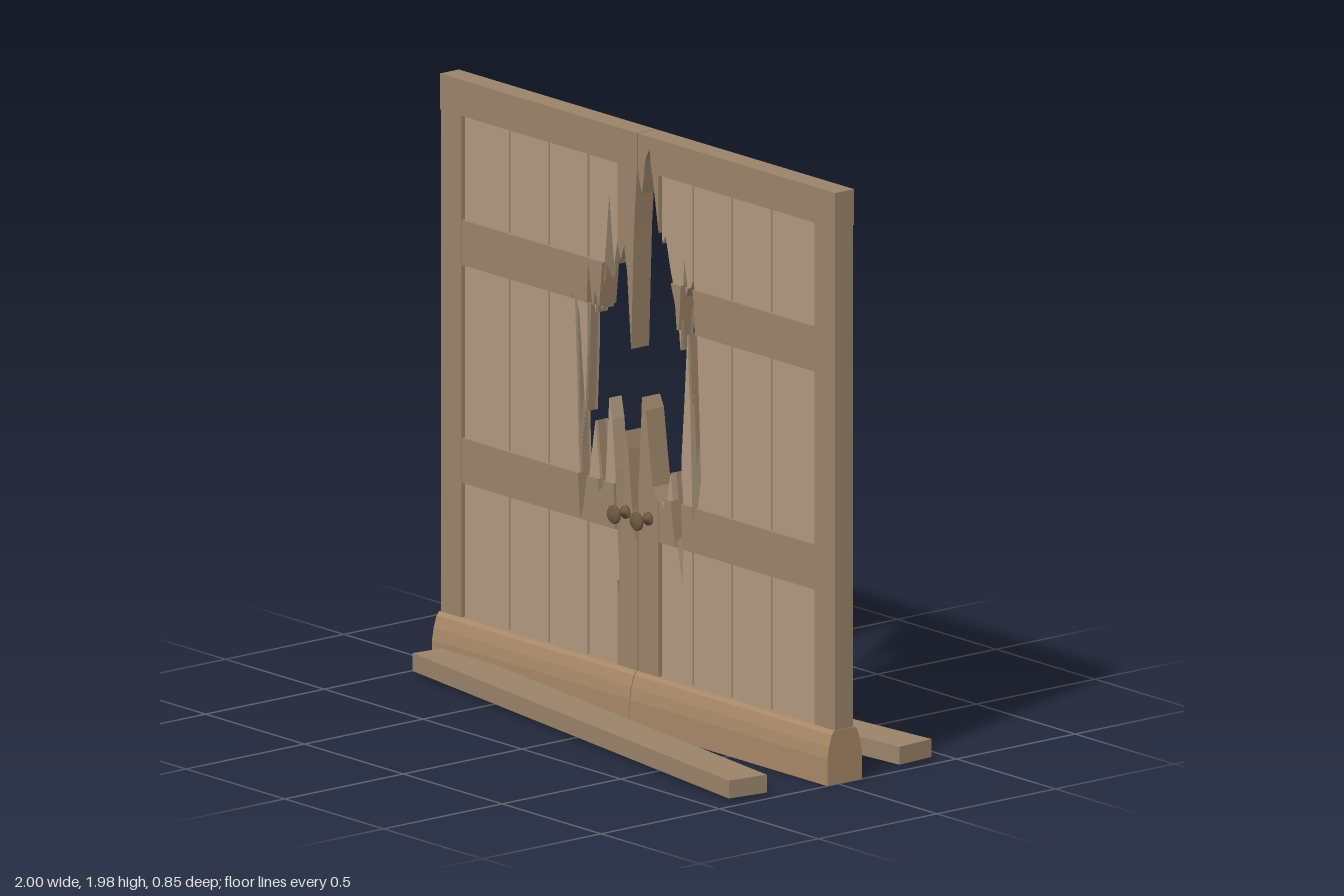
import * as THREE from 'three';

const V = (x, y) => new THREE.Vector2(x, y);
const wood = (color) => new THREE.MeshStandardMaterial({ color, roughness: 0.9, flatShading: true });
const frameWood = wood(0x9b846a), panelWood = wood(0xb09980), sillWood = wood(0xa88868);
const knobWood = new THREE.MeshStandardMaterial({ color: 0x6e5841 });
const Z = -0.028; // mid plane of the doors

// Jagged outline of the breach, clockwise, in hundredths
const BREACH = [
  6, 194, 7.5, 184, 11, 163, 12.5, 166, 15, 155, 18.5, 144, 20, 129, 22, 160, 24, 148, 26.5, 154, 28, 147,
  29, 123, 30.5, 88, 28, 73, 26, 79, 25, 109, 23.5, 135, 22, 112, 20.5, 92, 22, 69, 21, 51, 18, 66, 15, 87,
  12.5, 74, 7.5, 81, 6, 91, 4, 106, 2, 110, 1, 91, -1, 60, -3, 72, -5, 91, -6.5, 97, -9, 48, -10, 42,
  -11.5, 58, -13, 83, -14.5, 99, -16, 106, -18, 76, -20, 74, -23, 97, -28, 67, -29.5, 63, -31.5, 88,
  -32, 109, -33.5, 139, -31, 131, -28, 99, -26.5, 131, -25.5, 150, -23, 133, -22, 141, -20, 135, -17.5, 158,
  -16, 174, -13.5, 151, -11.5, 161, -8.5, 154, -7, 159, -5.5, 150, -3.5, 125, -2, 166, -0.5, 186, 2, 178, 4, 190,
];
const hole = [];
for (let i = 0; i < BREACH.length; i += 2) hole.push(V(BREACH[i] / 100, BREACH[i + 1] / 100));

// Whole door face around the breach as counter-clockwise triangles
const outer = [V(-1.1, 0), V(1.1, 0), V(1.1, 2.1), V(-1.1, 2.1)];
const points = [...outer, ...hole];
const triangles = THREE.ShapeUtils.triangulateShape(outer, [hole]).map((f) => {
  const t = f.map((i) => points[i]);
  return THREE.ShapeUtils.area(t) < 0 ? t.reverse() : t;
});

// Cut a polygon down to a rectangle
function clip(poly, r) {
  const sides = [['x', r[0], 1], ['x', r[1], -1], ['y', r[2], 1], ['y', r[3], -1]];
  for (const [axis, limit, sign] of sides) {
    const out = [];
    poly.forEach((p, i) => {
      const q = poly[(i + 1) % poly.length];
      const dp = (p[axis] - limit) * sign, dq = (q[axis] - limit) * sign;
      if (dp >= 0) out.push(p);
      if (dp * dq < 0) {
        const c = p.clone().lerp(q, dp / (dp - dq));
        c[axis] = limit;
        out.push(c);
      }
    });
    poly = out;
  }
  return poly;
}

// A board filling a rectangle, broken wherever the breach crosses it
function board(name, x0, x1, y0, y1, half, material) {
  const r = [x0, x1, y0, y1], pos = [];
  const put = (p, z) => pos.push(p.x, p.y, z);
  const wall = (a, b) => {
    put(a, half); put(a, -half); put(b, -half);
    put(a, half); put(b, -half); put(b, half);
  };
  const onEdge = (a, b) => [['x', x0], ['x', x1], ['y', y0], ['y', y1]].some(([k, v]) => a[k] === v && b[k] === v);
  for (const t of triangles) {
    const p = clip(t, r);
    if (p.length < 3 || THREE.ShapeUtils.area(p) < 1e-8) continue;
    for (let i = 1; i < p.length - 1; i++) {
      put(p[0], half); put(p[i], half); put(p[i + 1], half);
      put(p[0], -half); put(p[i + 1], -half); put(p[i], -half);
    }
    p.forEach((a, i) => {
      const b = p[(i + 1) % p.length];
      if (onEdge(a, b) && a.distanceTo(b) > 1e-6) wall(a, b);
    });
  }
  // splintered edges
  hole.forEach((a, i) => {
    const b = hole[(i + 1) % hole.length], d = b.clone().sub(a);
    const s = clip([a, b], r).sort((p, q) => p.dot(d) - q.dot(d));
    if (s.length > 1 && s[0].distanceTo(s[s.length - 1]) > 1e-6) wall(s[0], s[s.length - 1]);
  });
  const geo = new THREE.BufferGeometry();
  geo.setAttribute('position', new THREE.Float32BufferAttribute(pos, 3));
  geo.computeVertexNormals();
  const mesh = new THREE.Mesh(geo, material);
  mesh.name = name;
  mesh.position.z = Z;
  return mesh;
}

// One door leaf: s = 1 for the left leaf, -1 for the right
function doorLeaf(s) {
  const leaf = new THREE.Group();
  leaf.name = s > 0 ? 'leftDoor' : 'rightDoor';
  const add = (name, a, b, y0, y1, half, mat) =>
    leaf.add(board(name, Math.min(a * s, b * s), Math.max(a * s, b * s), y0, y1, half, mat));
  add('topRail', 0.002, 1, 1.86, 1.98, 0.04, frameWood);
  add('outerStile', 0.893, 0.997, 0.15, 1.86, 0.038, frameWood);
  add('innerStile', 0.002, 0.104, 0.15, 1.86, 0.038, frameWood);
  add('upperRail', 0.104, 0.893, 1.36, 1.51, 0.036, frameWood);
  add('lowerRail', 0.104, 0.893, 0.63, 0.78, 0.036, frameWood);
  add('panelCore', 0.104, 0.893, 0.15, 1.86, 0.016, frameWood);
  const seams = [0.104, 0.265, 0.463, 0.663, 0.893];
  for (let i = 0; i < 4; i++) add('panelPlank', seams[i] + 0.004, seams[i + 1] - 0.004, 0.15, 1.86, 0.026, panelWood);
  return leaf;
}

// Turned knob on a stem, pointing along +z from the door face
function knob(x, dir) {
  const profile = [[0, 0], [0.022, 0], [0.022, 0.008], [0.01, 0.013], [0.01, 0.04], [0.024, 0.043],
    [0.031, 0.05], [0.031, 0.056], [0.024, 0.063], [0, 0.066]].map(([a, b]) => V(a, b));
  const mesh = new THREE.Mesh(new THREE.LatheGeometry(profile, 16), knobWood);
  mesh.name = 'knob';
  mesh.rotation.x = dir * Math.PI / 2;
  mesh.position.set(x, 0.7, Z + dir * 0.037);
  return mesh;
}

// Half of the tapered bottom beam
function sill(s) {
  const half = [[0.073, 0], [0.073, 0.09], [0.066, 0.13], [0.054, 0.168], [0.044, 0.18]];
  const shape = new THREE.Shape([...half.map(([z, y]) => V(z, y)), ...half.reverse().map(([z, y]) => V(-z, y))]);
  const geo = new THREE.ExtrudeGeometry(shape, { depth: 0.998, bevelEnabled: false });
  geo.rotateY(Math.PI / 2);
  const mesh = new THREE.Mesh(geo, sillWood);
  mesh.name = s > 0 ? 'leftSill' : 'rightSill';
  mesh.position.set(s > 0 ? 0.002 : -1, 0, Z);
  return mesh;
}

// Loose beam lying on the ground
function looseBeam(name, z, turn) {
  const mesh = new THREE.Mesh(new THREE.BoxGeometry(1.932, 0.06, 0.145), frameWood);
  mesh.name = name;
  mesh.position.set(0, 0.04, z);
  mesh.rotation.y = turn;
  return mesh;
}

export function createModel() {
  const model = new THREE.Group();
  model.name = 'brokenDoubleDoor';
  for (const s of [1, -1]) {
    model.add(doorLeaf(s), sill(s));
    model.add(knob(0.055, s), knob(-0.06, s));
  }
  model.add(looseBeam('frontBeam', 0.214, -0.136), looseBeam('backBeam', -0.277, 0.084));
  return model;
}
